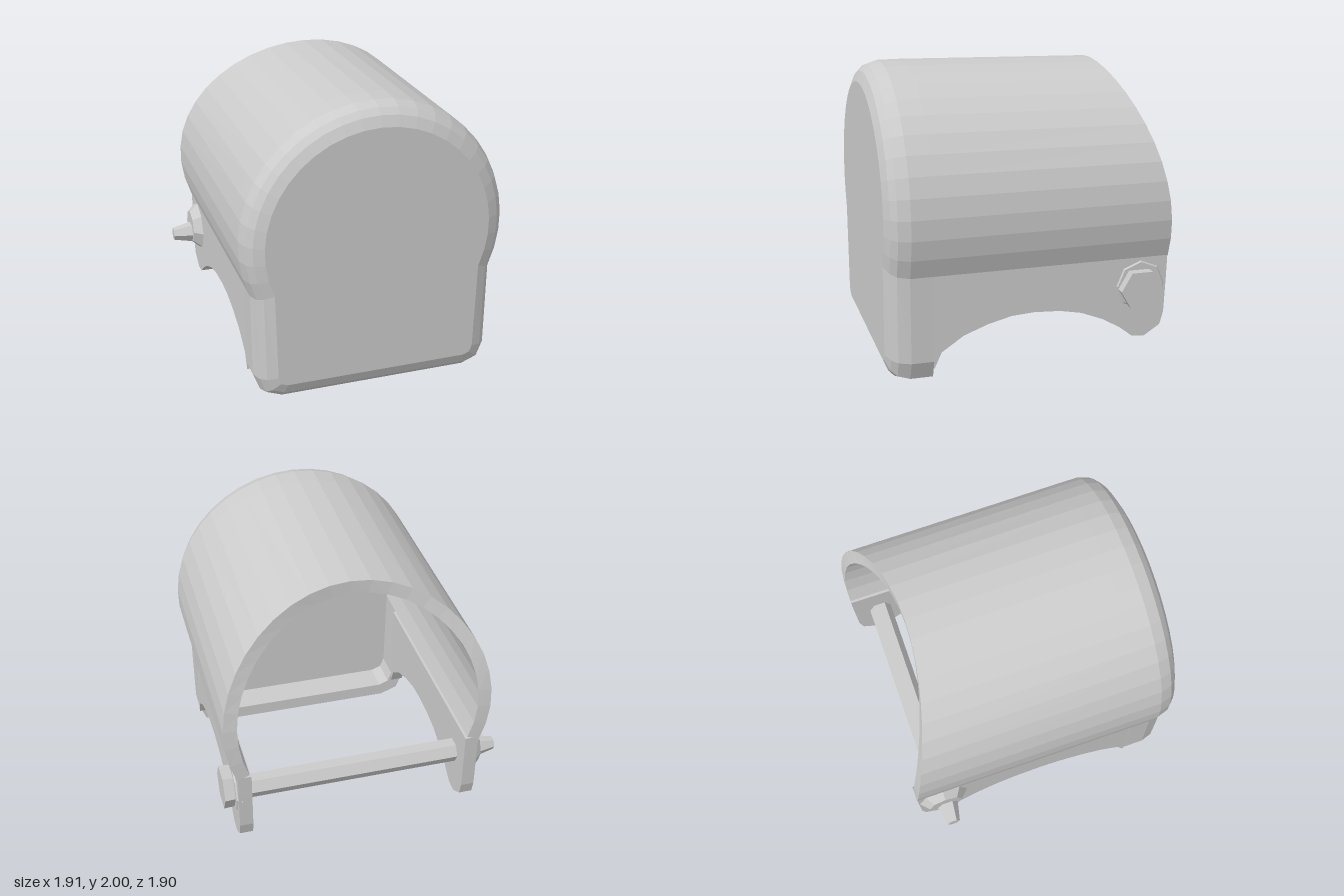
import * as THREE from 'three';

const CX = 0.055, CY = 1.1, R = 0.895, W = 0.82; // arch centre, radius, half width below
const A0 = -0.4, SEG = 26, WALL = 0.09, RIM = 0.65;
const mat = new THREE.MeshStandardMaterial({ color: 0xcccccc, flatShading: true, side: THREE.DoubleSide });

const backZ = (y) => -0.95 + 0.195 * Math.max(0, y - 0.8) ** 2;
const arcAngle = (i) => A0 + (i / SEG) * (Math.PI - 2 * A0);

// Skin closed rings of points and cap both ends
function loft(rings) {
  const n = rings[0].length, pos = [], idx = [];
  rings.forEach((ring) => ring.forEach((p) => pos.push(...p)));
  for (let i = 0; i < rings.length - 1; i++) {
    for (let j = 0; j < n; j++) {
      const k = (j + 1) % n, a = i * n + j, b = i * n + k;
      idx.push(a, b, b + n, a, b + n, a + n);
    }
  }
  [0, rings.length - 1].forEach((r) => {
    const c = pos.length / 3;
    pos.push(...[0, 1, 2].map((d) => rings[r].reduce((s, p) => s + p[d], 0) / n));
    for (let j = 0; j < n; j++) {
      const a = r * n + j, b = r * n + ((j + 1) % n);
      if (r) idx.push(c, a, b); else idx.push(c, b, a);
    }
  });
  const g = new THREE.BufferGeometry();
  g.setAttribute('position', new THREE.Float32BufferAttribute(pos, 3));
  g.setIndex(idx);
  g.computeVertexNormals();
  return g;
}

// Arch-over-box outline, shrunk by d, at depth z
function outline(z, d) {
  const pts = [], r = R - d, w = W - d, c = 0.17 - d * 0.8;
  for (let i = 0; i <= SEG; i++) {
    const a = arcAngle(i);
    pts.push([CX + r * Math.cos(a), CY + r * Math.sin(a), z]);
  }
  const corner = [[w, d + c], [w - c * 0.28, d + c * 0.28], [w - c, d]];
  corner.forEach(([x, y]) => pts.push([CX - x, y, z]));
  corner.reverse().forEach(([x, y]) => pts.push([CX + x, y, z]));
  return pts;
}

export function createModel() {
  const group = new THREE.Group();
  const add = (name, geo) => {
    const m = new THREE.Mesh(geo, mat);
    m.name = name;
    group.add(m);
    return m;
  };

  // Front panel with rounded edge and a shallow rim running back
  const profile = [[0.86, WALL], [RIM, WALL], [RIM, 0], [0.8, 0], [0.88, 0.025], [0.92, 0.065], [0.95, 0.135]];
  add('frontPanel', loft(profile.map(([z, d]) => outline(z, d))));

  // Arched hood, lowering slightly toward its curved rear edge
  const sections = [];
  for (let i = 0; i <= SEG; i++) {
    const a = arcAngle(i), s = Math.sin(a), zb = backZ(CY + R * s);
    const p = (r, z) => [
      CX + r * Math.cos(a),
      CY + r * s - 0.035 * Math.max(0, s) * (RIM - z) / 1.32,
      z,
    ];
    sections.push([p(R, RIM), p(R, zb), p(R - WALL, zb), p(R - WALL, RIM)]);
  }
  add('archedHood', loft(sections));

  // Side walls with the scooped lower edge, as (z, y)
  const side = new THREE.Shape([
    [0.65, 0.77], [0.65, 0.12], [0.6, 0.23], [0.45, 0.33], [0.29, 0.39], [0.13, 0.43], [-0.02, 0.44],
    [-0.2, 0.43], [-0.35, 0.4], [-0.5, 0.34], [-0.62, 0.27], [-0.71, 0.2], [-0.8, 0.19],
    [-0.91, 0.26], [-0.935, 0.35], [-0.945, 0.6], [-0.95, 0.77],
  ].map(([z, y]) => new THREE.Vector2(z, y)));
  [['leftWall', CX + W], ['rightWall', CX - W + WALL]].forEach(([name, x]) => {
    const g = new THREE.ExtrudeGeometry(side, { depth: WALL, bevelEnabled: false });
    g.rotateY(-Math.PI / 2);
    g.translate(x, 0, 0);
    add(name, g);
  });

  // Hexagonal rods along x: radius r0 at x0, r1 at x1
  const rod = (name, x0, x1, r0, r1, y, z, n = 6) => {
    const g = new THREE.CylinderGeometry(r1, r0, x1 - x0, n);
    g.rotateZ(-Math.PI / 2);
    g.translate((x0 + x1) / 2, y, z);
    add(name, g);
  };
  rod('crossBar', -0.7, 0.8, 0.08, 0.08, 0.52, -0.75);
  rod('leftBoltHead', 0.86, 0.955, 0.14, 0.145, 0.545, -0.745);
  rod('rightBoltTip', -0.96, -0.8, 0.045, 0.08, 0.52, -0.75);
  rod('rightBoltPad', -0.825, -0.75, 0.12, 0.19, 0.56, -0.76, 8);
  rod('leftBoltPad', 0.85, 0.885, 0.19, 0.16, 0.56, -0.76, 8);

  return group;
}
